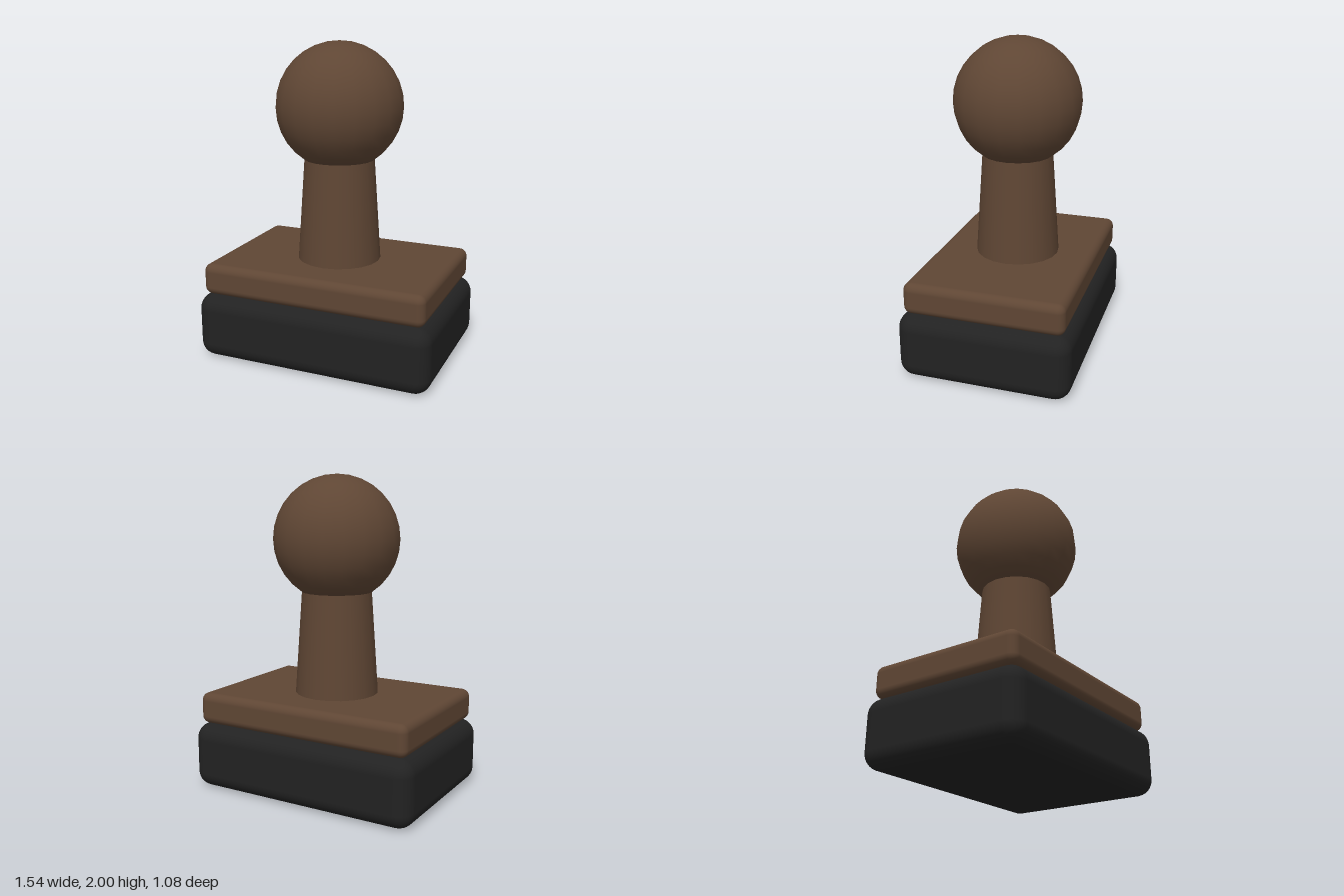
import * as THREE from 'three';
import { RoundedBoxGeometry } from 'three/addons/geometries/RoundedBoxGeometry.js';

export function createModel() {
  const model = new THREE.Group();
  model.name = 'handStamp';

  const wood = new THREE.MeshStandardMaterial({ color: 0x5f4634 });
  wood.name = 'brown wood';
  const rubber = new THREE.MeshStandardMaterial({ color: 0x222222 });
  rubber.name = 'black rubber';

  const add = (name, geometry, material, y) => {
    const mesh = new THREE.Mesh(geometry, material);
    mesh.name = name;
    mesh.position.y = y;
    model.add(mesh);
  };

  // Rubber block with the wooden plate resting on it
  add('base', new RoundedBoxGeometry(1.54, 0.42, 1.08, 4, 0.1), rubber, 0.21);
  add('plate', new RoundedBoxGeometry(1.46, 0.2, 1.0, 4, 0.05), wood, 0.52);

  // Tapered handle, running up into the ball
  add('handle', new THREE.CylinderGeometry(0.22, 0.267, 0.7, 20), wood, 0.96);
  add('knob', new THREE.SphereGeometry(0.4, 20, 16), wood, 1.6);

  return model;
}
